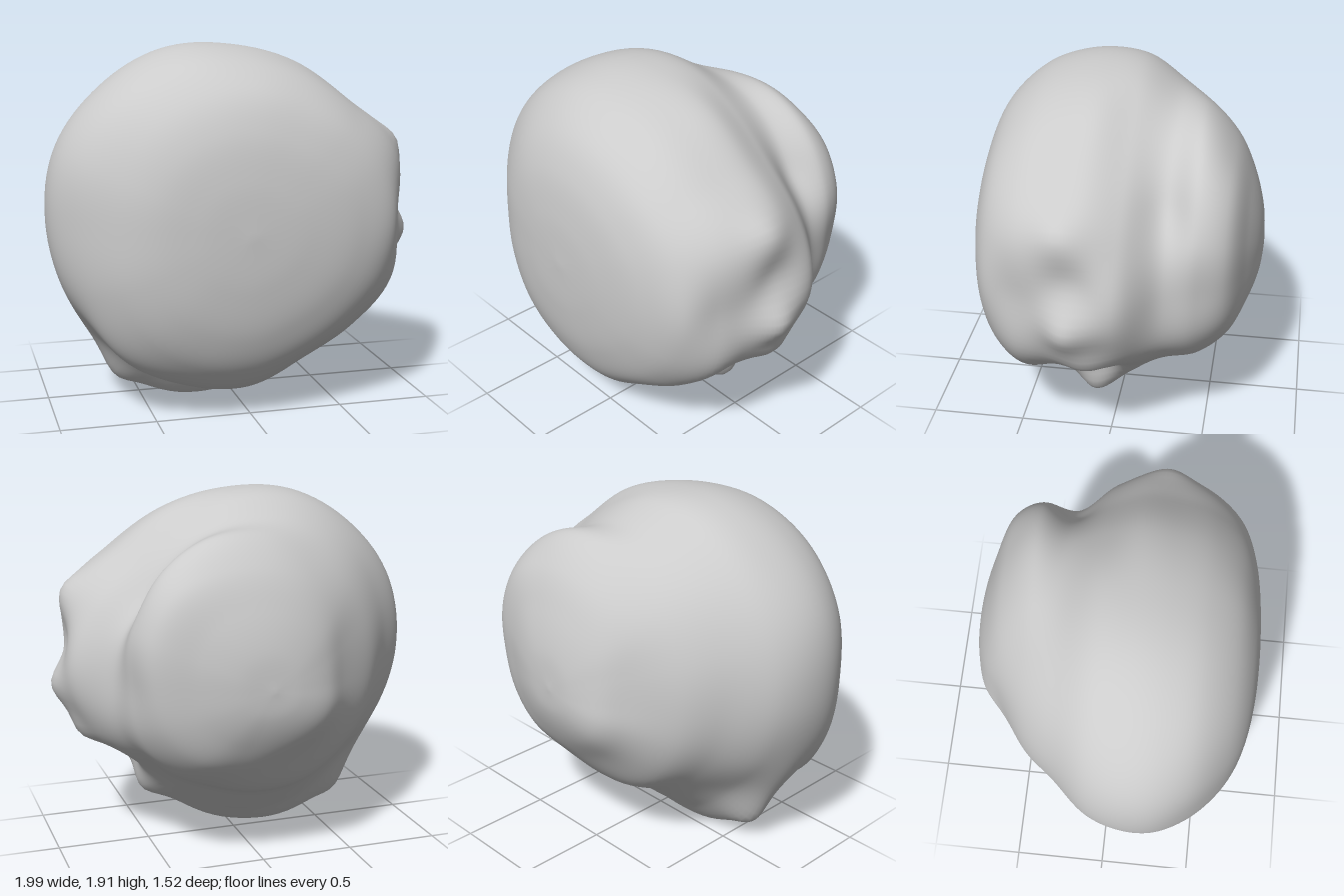
import * as THREE from 'three';
import { mergeVertices } from 'three/addons/utils/BufferGeometryUtils.js';

// Radii around (0, 1) at 16 even angles from +x, one row per slice along z
const SLICES = {
  front: [0.74, 0.73, 0.69, 0.67, 0.69, 0.72, 0.75, 0.74, 0.72, 0.75, 0.78, 0.76, 0.73, 0.69, 0.69, 0.72],
  frontRim: [0.82, 0.87, 0.81, 0.8, 0.82, 0.87, 0.91, 0.92, 0.89, 0.91, 0.94, 0.9, 0.87, 0.79, 0.81, 0.86],
  crease: [0.88, 0.94, 0.86, 0.86, 0.885, 0.94, 0.98, 1.01, 0.99, 0.98, 0.94, 0.88, 0.83, 0.74, 0.79, 0.88],
  keel: [0.92, 0.95, 0.87, 0.88, 0.905, 0.96, 0.99, 1.02, 1.0, 0.98, 1.0, 1.05, 0.98, 0.88, 0.8, 0.87],
  middle: [0.92, 0.87, 0.8, 0.82, 0.88, 0.93, 0.95, 0.96, 0.94, 0.9, 0.86, 0.89, 0.86, 0.8, 0.78, 0.86],
  groove: [0.74, 0.73, 0.71, 0.75, 0.78, 0.81, 0.82, 0.8, 0.77, 0.75, 0.73, 0.73, 0.7, 0.68, 0.71, 0.76],
  backLobe: [0.69, 0.74, 0.77, 0.77, 0.73, 0.69, 0.67, 0.64, 0.62, 0.62, 0.62, 0.63, 0.62, 0.62, 0.67, 0.7],
  back: [0.61, 0.66, 0.68, 0.63, 0.58, 0.53, 0.48, 0.42, 0.39, 0.4, 0.41, 0.42, 0.44, 0.48, 0.55, 0.59],
};

// Order from front to back: z, slice, scale, x shift
const LOFT = [
  [0.76, 'front', 0, -0.06], [0.745, 'front', 0.4, -0.05], [0.7, 'front', 0.74, -0.02],
  [0.61, 'front', 1, 0], [0.45, 'frontRim', 1, 0], [0.27, 'crease', 1, 0],
  [0.09, 'keel', 1, 0], [-0.09, 'middle', 1, 0], [-0.28, 'groove', 1, 0],
  [-0.45, 'backLobe', 1, 0], [-0.6, 'back', 1, 0], [-0.69, 'back', 0.67, 0],
  [-0.745, 'back', 0.33, 0.02], [-0.76, 'back', 0, 0.04],
];

// Local bumps and hollows: centre, push, reach
const BUMPS = [
  [[0.94, 0.87, 0.15], [0.1, -0.01, 0.02], 0.14],   // nose
  [[0.79, 0.65, 0.08], [0.06, -0.03, 0], 0.13],     // underside of the nose
  [[0.9, 1.38, 0.2], [0.03, 0.02, 0], 0.12],        // brow above the nose
  [[0.9, 1.14, 0.14], [-0.04, 0, 0], 0.13],         // dip between them
  [[0.64, 0.48, 0.05], [-0.05, 0.04, 0], 0.11],     // hollow under the nose
  [[0.48, 0.33, 0.08], [0.04, -0.06, 0], 0.13],     // keel, right end
  [[-0.62, 0.22, 0.08], [-0.02, -0.07, 0], 0.14],   // keel, left end
  [[0.6, 1.38, -0.28], [-0.04, 0, 0], 0.15],        // groove behind the brow
  [[-0.22, 0.85, -0.62], [-0.02, 0, -0.03], 0.2],   // ridge low on the back
].map(([c, push, reach]) => ({ c: new THREE.Vector3(...c), push: new THREE.Vector3(...push), reach }));

// Smooth periodic interpolation of a row of radii
function radiusAt(row, u) {
  const n = row.length, i = Math.floor(u * n), t = u * n - i;
  const [a, b, c, d] = [-1, 0, 1, 2].map((k) => row[(i + k + n) % n]);
  return b + 0.5 * t * (c - a + t * (2 * a - 5 * b + 4 * c - d + t * (3 * (b - c) + d - a)));
}

function stoneGeometry(around = 128, along = 117) {
  const positions = [], index = [];
  for (let i = 0; i < around; i++) {
    const u = i / around, angle = u * Math.PI * 2;
    const line = new THREE.CatmullRomCurve3(LOFT.map(([z, name, scale, shift]) => {
      const r = radiusAt(SLICES[name], u) * scale;
      return new THREE.Vector3(shift + r * Math.cos(angle), 1 + r * Math.sin(angle), z);
    }));
    for (let j = 0; j <= along; j++) {
      const p = line.getPoint(j / along), q = p.clone();
      for (const { c, push, reach } of BUMPS) {
        q.addScaledVector(push, Math.exp(-p.distanceToSquared(c) / (reach * reach)));
      }
      positions.push(q.x, Math.max(q.y, 0), q.z);
    }
  }
  const at = (i, j) => (i % around) * (along + 1) + j;
  for (let i = 0; i < around; i++) {
    for (let j = 0; j < along; j++) {
      const a = at(i, j), b = at(i + 1, j), c = at(i + 1, j + 1), d = at(i, j + 1);
      if (j > 0) index.push(a, d, b);
      if (j < along - 1) index.push(b, d, c);
    }
  }
  const geometry = new THREE.BufferGeometry();
  geometry.setAttribute('position', new THREE.Float32BufferAttribute(positions, 3));
  geometry.setIndex(index);
  const merged = mergeVertices(geometry, 1e-5);
  merged.computeVertexNormals();
  return merged;
}

export function createModel() {
  const group = new THREE.Group();
  group.name = 'boulder';
  const stone = new THREE.Mesh(stoneGeometry(), new THREE.MeshStandardMaterial({ color: 0xcccccc }));
  stone.name = 'stone';
  group.add(stone);
  return group;
}
